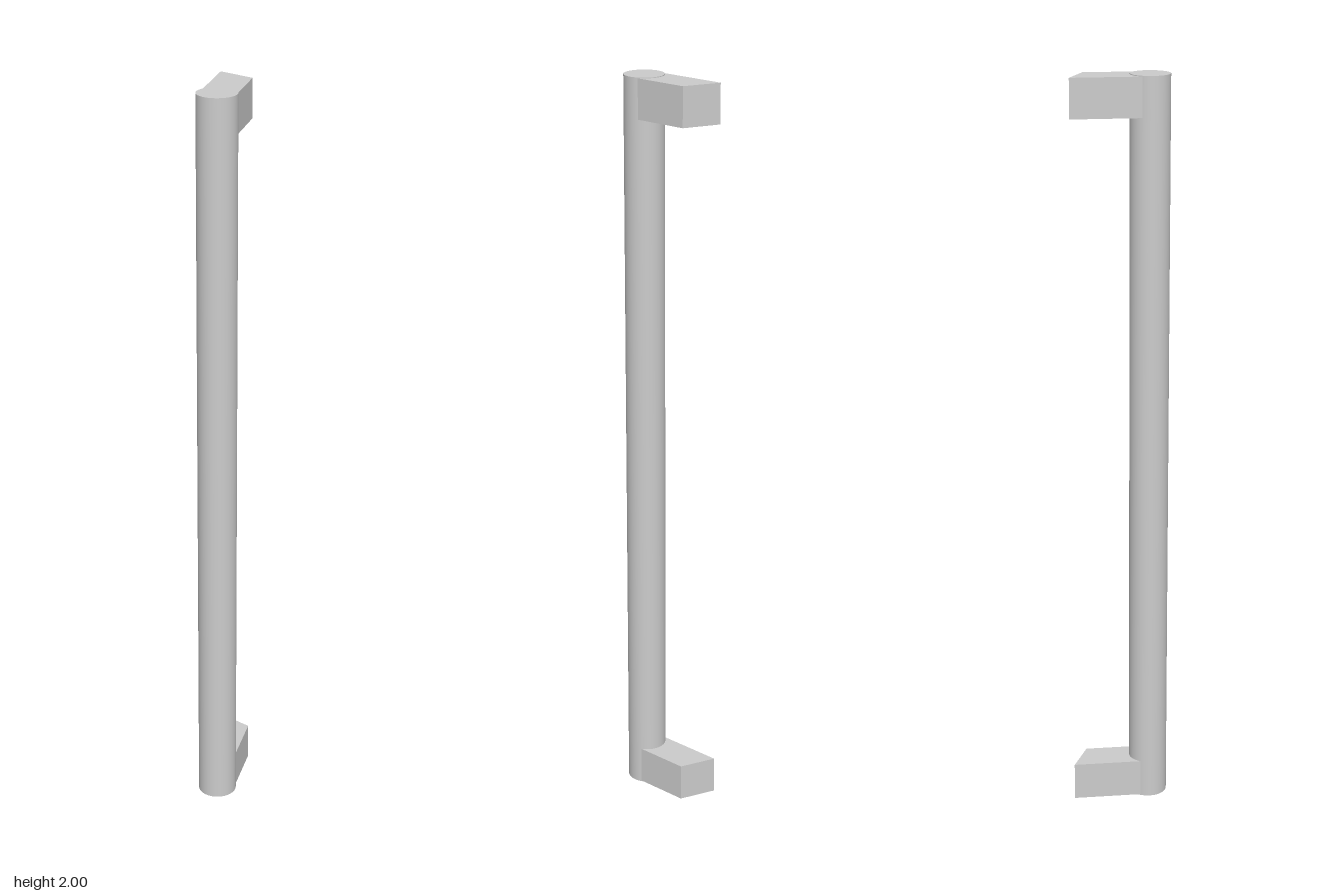
import * as THREE from 'three';

export function createModel() {
  const model = new THREE.Group();
  const material = new THREE.MeshStandardMaterial({ color: 0xcccccc });

  // Upright round grip bar, standing off to one side of the mounts
  const grip = new THREE.Mesh(new THREE.CylinderGeometry(0.052, 0.052, 2, 64), material);
  grip.name = 'gripBar';
  grip.position.set(-0.061, 1, 0.037);
  model.add(grip);

  // Slanted mounting arm: plan is (x, -z); its inner end is buried in the bar
  const plan = new THREE.Shape([
    new THREE.Vector2(-0.023, -0.072),
    new THREE.Vector2(0.111, -0.011),
    new THREE.Vector2(0.111, 0.091),
    new THREE.Vector2(-0.06, 0.013),
  ]);
  const armHeight = 0.103;
  const armGeometry = new THREE.ExtrudeGeometry(plan, { depth: armHeight, bevelEnabled: false });
  armGeometry.rotateX(-Math.PI / 2);

  // One arm at each end, a hair inside the bar's end faces
  const inset = 0.002;
  for (const [name, y] of [['lowerArm', inset], ['upperArm', 2 - inset - armHeight]]) {
    const arm = new THREE.Mesh(armGeometry, material);
    arm.name = name;
    arm.position.y = y;
    model.add(arm);
  }

  return model;
}
